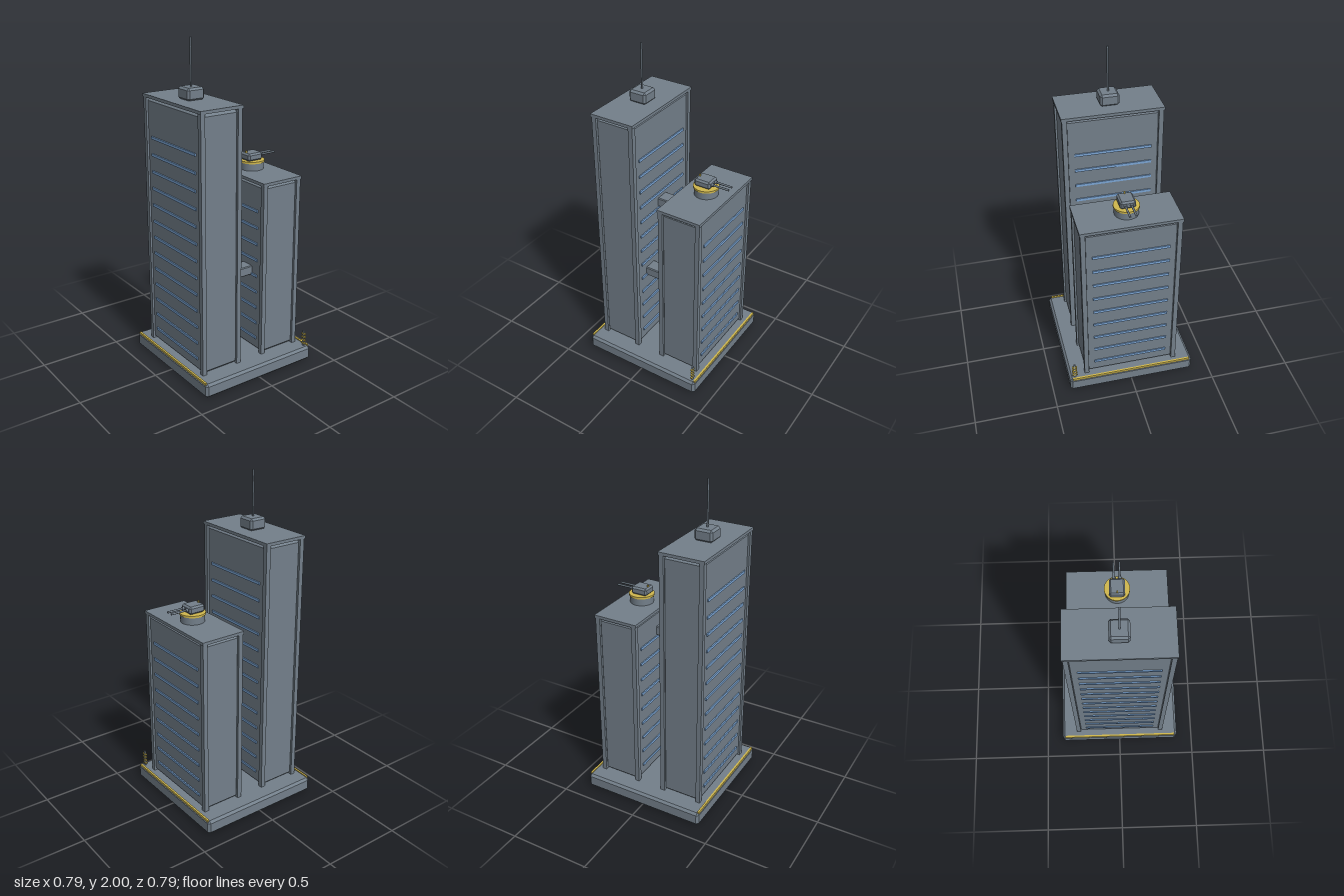
import * as THREE from 'three';
import { ConvexGeometry } from 'three/addons/geometries/ConvexGeometry.js';

const steel = new THREE.MeshStandardMaterial({ color: 0x737f8a });
steel.name = 'steel grey';
const gold = new THREE.MeshStandardMaterial({ color: 0xd0b84e });
gold.name = 'warning gold';
const glass = new THREE.MeshStandardMaterial({ color: 0x7ba5d4 });
glass.name = 'window blue';

function add(parent, name, geometry, material, x, y, z) {
  const mesh = new THREE.Mesh(geometry, material);
  mesh.name = name;
  mesh.position.set(x, y, z);
  parent.add(mesh);
  return mesh;
}

const box = (w, h, d) => new THREE.BoxGeometry(w, h, d);
const rod = (r, h, sides = 12) => new THREE.CylinderGeometry(r, r, h, sides);

// Box with all edges cut at 45 degrees
function chamferBox(w, h, d, c) {
  const points = [];
  for (const sx of [-1, 1]) for (const sy of [-1, 1]) for (const sz of [-1, 1]) {
    const x = w / 2, y = h / 2, z = d / 2;
    points.push(
      new THREE.Vector3(sx * x, sy * (y - c), sz * (z - c)),
      new THREE.Vector3(sx * (x - c), sy * y, sz * (z - c)),
      new THREE.Vector3(sx * (x - c), sy * (y - c), sz * z));
  }
  return new ConvexGeometry(points);
}

// Tower: body, corner pillars, roof slab and window strips front and back
function tower(name, z, top, rows) {
  const g = new THREE.Group();
  g.name = name;
  g.position.z = z;
  const floor = 0.085, roof = top - 0.018, h = roof - floor;
  add(g, 'body', chamferBox(0.566, h, 0.25, 0.02), steel, 0, floor + h / 2, 0);
  add(g, 'roofSlab', box(0.598, 0.018, 0.28), steel, 0, top - 0.009, 0);
  for (const sx of [-1, 1]) for (const sz of [-1, 1]) {
    add(g, 'cornerPillar', box(0.028, h, 0.028), steel, sx * 0.28, floor + h / 2, sz * 0.122);
  }
  for (let i = 0; i < rows; i++) for (const s of [-1, 1]) {
    add(g, 'windowStrip', box(0.456, 0.016, 0.009), glass, 0, 0.17 + i * 0.1033, s * 0.1275);
  }
  return g;
}

// Roof turret with two barrels pointing backwards
function turret() {
  const g = new THREE.Group();
  g.name = 'turret';
  g.position.set(0, 1.183, -0.216);
  add(g, 'turretBase', rod(0.071, 0.048, 32), steel, 0, 0.024, 0);
  add(g, 'turretRing', rod(0.076, 0.012, 32), gold, 0, 0.052, 0);
  add(g, 'turretHousing', chamferBox(0.092, 0.046, 0.104, 0.01), steel, 0, 0.081, 0.005);
  add(g, 'turretSensor', box(0.009, 0.012, 0.009), gold, 0, 0.109, 0.043);
  for (const s of [-1, 1]) {
    add(g, 'barrelSleeve', rod(0.01, 0.02), steel, s * 0.018, 0.083, -0.05).rotation.x = Math.PI / 2;
    add(g, 'barrel', rod(0.006, 0.12), steel, s * 0.018, 0.083, -0.096).rotation.x = Math.PI / 2;
  }
  return g;
}

export function createModel() {
  const model = new THREE.Group();
  model.name = 'twinTowers';

  // Base plate and its edge strips
  add(model, 'basePlate', chamferBox(0.786, 0.088, 0.786, 0.014), steel, 0, 0.044, 0);
  for (const s of [-1, 1]) {
    add(model, 'edgeStrip', box(0.75, 0.014, 0.012), gold, 0, 0.087, s * 0.385);
  }

  model.add(tower('frontTower', 0.215, 1.66, 13));
  model.add(tower('backTower', -0.215, 1.185, 9));

  // Bridges between the towers
  add(model, 'upperBridge', chamferBox(0.086, 0.058, 0.2, 0.005), steel, -0.003, 1.036, 0);
  add(model, 'lowerBridge', chamferBox(0.086, 0.058, 0.2, 0.005), steel, 0.133, 0.606, 0);

  // Roof unit and antenna of the front tower
  add(model, 'roofUnit', chamferBox(0.112, 0.072, 0.112, 0.012), steel, 0, 1.694, 0.215);
  add(model, 'antenna', rod(0.0055, 0.28), steel, 0, 1.86, 0.215);

  model.add(turret());

  // Small mast with rungs on the back left corner
  const mast = new THREE.Group();
  mast.name = 'cornerMast';
  mast.position.set(0.36, 0, -0.363);
  add(mast, 'mastPost', box(0.012, 0.105, 0.01), steel, 0, 0.1385, 0);
  for (let i = 0; i < 4; i++) {
    add(mast, 'mastRung', box(0.03, 0.009, 0.012), gold, 0, 0.106 + i * 0.021, 0);
  }
  model.add(mast);

  return model;
}
